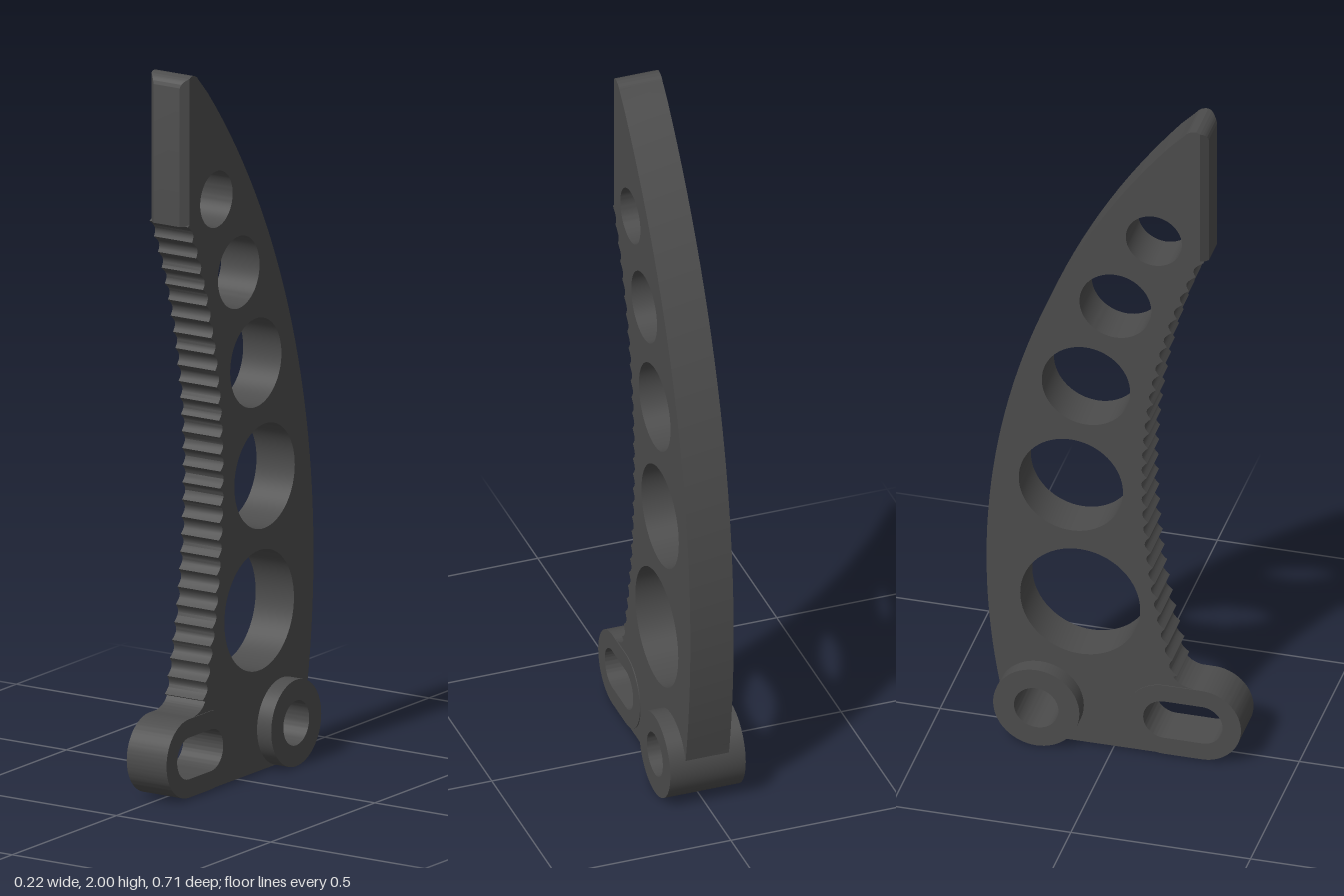
import * as THREE from 'three';
import { toCreasedNormals } from 'three/addons/utils/BufferGeometryUtils.js';

const material = new THREE.MeshStandardMaterial({ color: 0x4c4c4c });
const HALF = 0.062;
const SLOT = { front: 0.246, back: 0.141, y: 0.11 };
const PIVOT = { z: -0.203, y: 0.117 };

// Extrudes a side profile drawn in (z, y) symmetrically across x.
function extrudeSide(shape, half) {
  const g = new THREE.ExtrudeGeometry(shape, { depth: half * 2, bevelEnabled: false, curveSegments: 32 });
  g.translate(0, 0, -half);
  g.rotateY(-Math.PI / 2);
  return g;
}

function addPart(group, name, geometry) {
  const mesh = new THREE.Mesh(toCreasedNormals(geometry, 0.5), material);
  mesh.name = name;
  group.add(mesh);
}

function circle(Type, z, y, r) {
  return new Type().absarc(z, y, r, 0, Math.PI * 2, false);
}

function stadium(Type, r) {
  const p = new Type();
  p.absarc(SLOT.front, SLOT.y, r, -Math.PI / 2, Math.PI / 2, false);
  p.absarc(SLOT.back, SLOT.y, r, Math.PI / 2, Math.PI * 1.5, false);
  p.closePath();
  return p;
}

// Curved blade with scalloped grip edge and five lightening holes
function bladeShape() {
  const s = new THREE.Shape();
  s.moveTo(PIVOT.z, 0.001);
  s.lineTo(SLOT.front, 0.002);
  s.absarc(SLOT.front, SLOT.y, 0.108, -Math.PI / 2, Math.PI / 2, false);
  s.quadraticCurveTo(0.185, 0.217, 0.166, 0.25);

  // Scallops: sharp crests on an arc, rounded valleys between them
  const teeth = 28, steps = 6, y0 = 0.255, y1 = 1.585;
  for (let i = 0; i <= teeth * steps; i++) {
    const y = y0 + (y1 - y0) * i / (teeth * steps);
    const R = y < 0.86 ? 2.2 : 1.75;
    const crest = 0.092 + R - Math.sqrt(R * R - (y - 0.86) ** 2);
    s.lineTo(crest - 0.015 * Math.sin(Math.PI * (i % steps) / steps), y);
  }

  // Tip and long convex back
  s.lineTo(0.24, 1.59);
  s.lineTo(0.24, 1.995);
  s.quadraticCurveTo(0.234, 2, 0.226, 2);
  s.quadraticCurveTo(0.208, 1.998, 0.199, 1.985);
  const cz = 1.797, R = 2.151;
  for (let i = 1; i <= 40; i++) {
    const y = 1.985 + (0.14 - 1.985) * i / 40;
    s.lineTo(cz - Math.sqrt(R * R - (y - 0.55) ** 2), y);
  }
  s.bezierCurveTo(-0.31, 0.05, -0.267, 0.001, PIVOT.z, 0.001);

  const holes = [
    [0.112, 1.633, 0.078], [0.005, 1.407, 0.1], [-0.077, 1.138, 0.123],
    [-0.119, 0.815, 0.145], [-0.093, 0.447, 0.167], [PIVOT.z, PIVOT.y, 0.066],
  ];
  for (const [z, y, r] of holes) s.holes.push(circle(THREE.Path, z, y, r));
  s.holes.push(stadium(THREE.Path, 0.062));
  return s;
}

// Flat front of the tip; its width narrows toward +z to chamfer both edges
function tipGeometry() {
  const s = new THREE.Shape();
  s.moveTo(0.24, 1.585);
  s.lineTo(0.26, 1.585);
  s.lineTo(0.26, 1.965);
  s.quadraticCurveTo(0.259, 1.984, 0.24, 1.995);
  s.closePath();
  const g = extrudeSide(s, HALF);
  const p = g.attributes.position;
  for (let i = 0; i < p.count; i++) {
    p.setX(i, Math.sign(p.getX(i)) * (HALF - (p.getZ(i) - 0.24)));
  }
  return g;
}

export function createModel() {
  const model = new THREE.Group();
  model.name = 'curvedLever';

  addPart(model, 'blade', extrudeSide(bladeShape(), HALF));
  addPart(model, 'chamferedTip', tipGeometry());

  // Slotted foot at the front
  const foot = stadium(THREE.Shape, 0.109);
  foot.holes.push(stadium(THREE.Path, 0.058));
  addPart(model, 'slottedFoot', extrudeSide(foot, 0.0645));

  // Pivot boss standing proud of both sides
  const boss = circle(THREE.Shape, PIVOT.z, PIVOT.y, 0.12);
  boss.holes.push(circle(THREE.Path, PIVOT.z, PIVOT.y, 0.062));
  addPart(model, 'pivotBoss', extrudeSide(boss, 0.108));

  return model;
}
